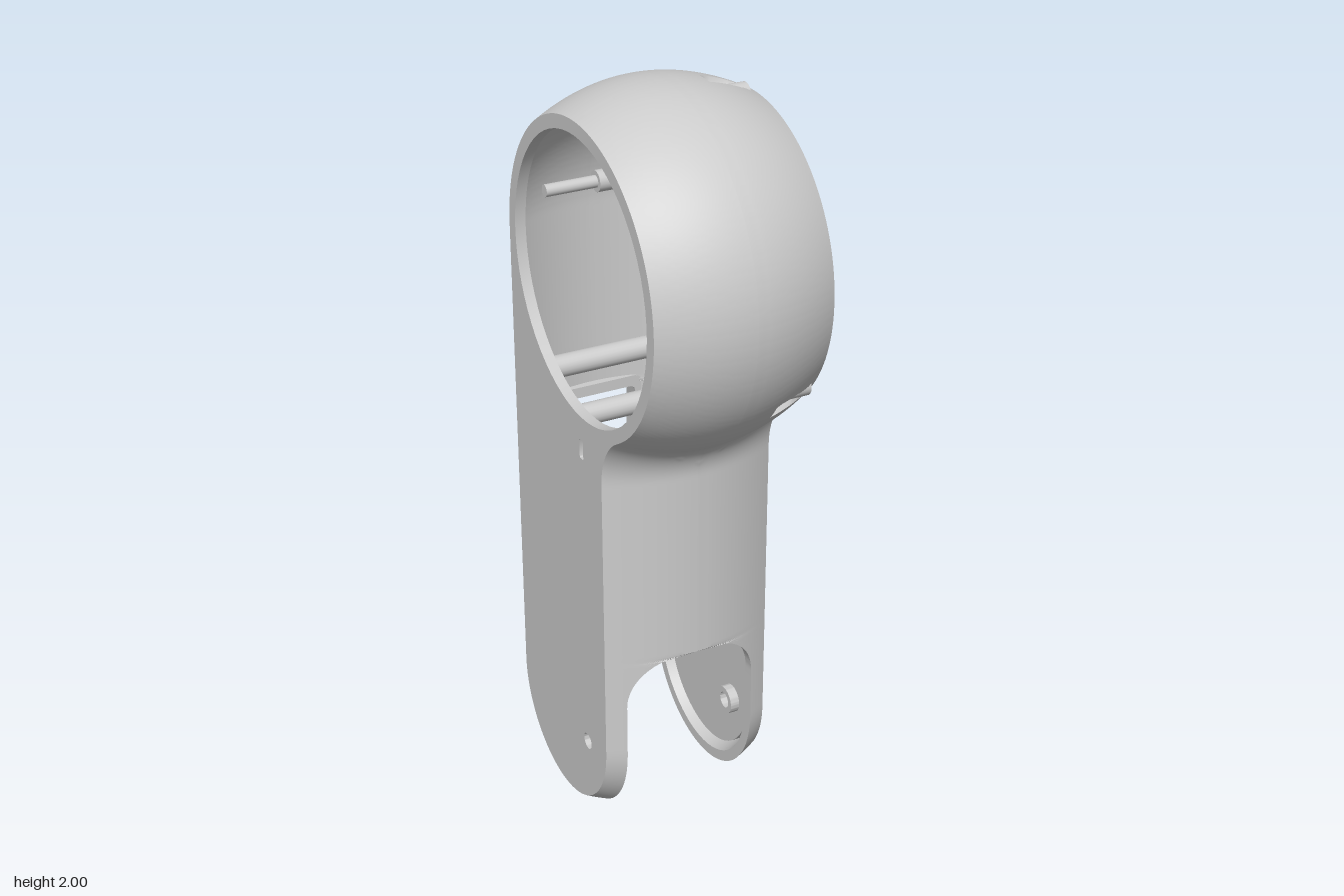
import * as THREE from 'three';
import { toCreasedNormals } from 'three/addons/utils/BufferGeometryUtils.js';

const MID = -0.02, LEFT = -0.25, RIGHT = 0.21, WALL = 0.03;
const DRUM_Y = 1.55, DRUM_R = 0.45, RAD = Math.PI / 180;
const DIMPLES = [90, -36.7, 169].map(a => a * RAD);
const mat = new THREE.MeshStandardMaterial({ color: 0xcccccc });

// half width of the fork slot at height y
function slotWidth(y, top) {
  if (y >= top) return 0;
  const h = y - (top - 0.14);
  return h > 0 ? 0.04 + Math.sqrt(0.14 * 0.14 - h * h) : 0.18;
}

// Side outline at the seam: position (z, y), outward normal (nz, ny), half width w of openings
function outline() {
  const pts = [];
  const arc = (cz, cy, r, a0, a1, n, sign, w, drum) => {
    for (let i = 0; i <= n; i++) {
      const a = a0 + (a1 - a0) * i / n, c = Math.cos(a), s = Math.sin(a);
      pts.push({ z: cz + r * c, y: cy + r * s, nz: sign * c, ny: sign * s, w, a: drum ? a : null });
    }
  };
  arc(-0.14, 0.27, 0.31, Math.PI, 2 * Math.PI, 48, 1, 0.18);
  const f = 0.12, fz = 0.17 + f;
  const dy = Math.sqrt((DRUM_R + f) ** 2 - fz * fz), fy = DRUM_Y - dy;
  for (let y = 0.28; y < fy - 0.005; y += 0.01)
    pts.push({ z: 0.17, y, nz: 1, ny: 0, w: slotWidth(y, 0.55), a: null });
  arc(fz, fy, f, Math.PI, Math.atan2(dy, -fz), 12, -1, 0);
  arc(0, DRUM_Y, DRUM_R, Math.atan2(-dy, fz) + 0.01, Math.PI, 238, 1, 0, true);
  for (let y = 1.54; y > 0.275; y -= 0.01) {
    const w = y > 0.785 && y < 1.035 ? 0.13 : slotWidth(y, 0.65);
    pts.push({ z: -0.45, y, nz: -1, ny: 0, w, a: null });
  }
  return pts;
}
const OUTLINE = outline();

// how far the crowned surface drops toward the sides, plus the screw dimples
function drop(p, x) {
  let d = 0.06 * ((x - MID) / 0.23) ** 2;
  if (p.a !== null && x > 0.085) for (const a of DIMPLES) {
    const s = 0.42 * (p.a - a);
    if (Math.abs(s) < 0.022) d = Math.max(d, DRUM_R - 0.42 + Math.sqrt(0.022 ** 2 - s * s));
  }
  return d;
}

// One half of the crowned wall, from the seam (or opening edge) to a side
function halfShell(side) {
  const N = 16, M = 2 * (N + 1), n = OUTLINE.length, pos = [], idx = [];
  for (const p of OUTLINE) for (let k = 0; k < M; k++) {
    const j = k <= N ? k : M - 1 - k;
    const x0 = MID + side * p.w, x = x0 + ((side > 0 ? RIGHT : LEFT) - x0) * j / N;
    const d = drop(p, x) + (k <= N ? 0 : WALL);
    pos.push(x, p.y - p.ny * d, p.z - p.nz * d);
  }
  for (let i = 0; i < n; i++) for (let k = 0; k < M; k++) {
    const i2 = (i + 1) % n, k2 = (k + 1) % M;
    const a = i * M + k, b = i * M + k2, c = i2 * M + k2, e = i2 * M + k;
    if (side > 0) idx.push(a, b, c, a, c, e);
    else idx.push(a, c, b, a, e, c);
  }
  const g = new THREE.BufferGeometry();
  g.setAttribute('position', new THREE.Float32BufferAttribute(pos, 3));
  g.setIndex(idx);
  return toCreasedNormals(g, 0.5);
}

// Shapes for the sides use u = -z, v = y
function circle(z, y, r, Type = THREE.Path) {
  const p = new Type();
  p.absarc(-z, y, r, 0, 2 * Math.PI, false);
  return p;
}
function rect(u0, u1, v0, v1, r, Type = THREE.Path) {
  const p = new Type();
  p.absarc(u1 - r, v0 + r, r, -Math.PI / 2, 0, false);
  p.absarc(u1 - r, v1 - r, r, 0, Math.PI / 2, false);
  p.absarc(u0 + r, v1 - r, r, Math.PI / 2, Math.PI, false);
  p.absarc(u0 + r, v0 + r, r, Math.PI, 1.5 * Math.PI, false);
  p.closePath();
  return p;
}
// thick arc with rounded ends around the drum axis
function arcSlot(r, h, a0, a1) {
  const p = new THREE.Path(), c = a => [r * Math.cos(a), DRUM_Y + r * Math.sin(a)];
  p.absarc(0, DRUM_Y, r + h, a0, a1, false);
  p.absarc(...c(a1), h, a1, a1 + Math.PI, false);
  p.absarc(0, DRUM_Y, r - h, a1, a0, true);
  p.absarc(...c(a0), h, a0 + Math.PI, a0 + 2 * Math.PI, false);
  return p;
}
function extrudeX(shape, x0, x1) {
  const g = new THREE.ExtrudeGeometry(shape, { depth: x1 - x0, bevelEnabled: false, curveSegments: 32 });
  g.rotateY(Math.PI / 2).translate(x0, 0, 0);
  return toCreasedNormals(g, 0.5);
}
function sidePlate(holes, x0, x1) {
  const s = new THREE.Shape(OUTLINE.map(p => new THREE.Vector2(-(p.z - p.nz * 0.088), p.y - p.ny * 0.088)));
  s.holes.push(...holes);
  return extrudeX(s, x0, x1);
}
function tube(z, y, R, r, x0, x1) {
  const s = circle(z, y, R, THREE.Shape);
  s.holes.push(circle(z, y, r));
  return extrudeX(s, x0, x1);
}
function rod(z, y, r, x0, x1) {
  return new THREE.CylinderGeometry(r, r, x1 - x0, 20).rotateZ(Math.PI / 2).translate((x0 + x1) / 2, y, z);
}

export function createModel() {
  const group = new THREE.Group();
  const add = (name, geometry) => {
    const m = new THREE.Mesh(geometry, mat);
    m.name = name;
    group.add(m);
  };

  // crowned wall, split along the seam
  add('leftHousingWall', halfShell(1));
  add('rightHousingWall', halfShell(-1));

  // side plate with curved slot, bearing hole, screw holes and small ports
  const screws = [[0.085, 1.14], [0.065, 0.855], [0.065, 0.585], [-0.355, 1.15],
    [-0.345, 1.0], [-0.345, 0.81], [-0.355, 0.665]];
  add('slottedSidePlate', sidePlate([
    circle(0, DRUM_Y, 0.115), arcSlot(0.3125, 0.033, 67 * RAD, 212 * RAD),
    ...screws.map(([z, y]) => circle(z, y, 0.022)),
    circle(0.105, 1.255, 0.017), circle(-0.1, 1.255, 0.017), circle(0, 1.28, 0.015),
    circle(0, 0.24, 0.022),
    rect(0.26, 0.295, 0.87, 1.06, 0.004), rect(0.24, 0.295, 0.74, 0.85, 0.004),
  ], 0.18, RIGHT));
  add('portFloor', new THREE.BoxGeometry(0.01, 0.36, 0.08).translate(0.178, 0.9, -0.27));

  // opposite side plate, open across the drum
  add('openSidePlate', sidePlate([
    circle(0, DRUM_Y, 0.356), circle(0, 0.24, 0.022), rect(-0.01, 0.01, 1.08, 1.13, 0.004),
  ], LEFT, LEFT + 0.028));

  // bearing collar, split by two notches
  const collar = (a0, a1) => {
    const s = new THREE.Shape();
    s.absarc(0, DRUM_Y, 0.15, a0 * RAD, a1 * RAD, false);
    s.absarc(0, DRUM_Y, 0.117, a1 * RAD, a0 * RAD, true);
    s.closePath();
    return extrudeX(s, RIGHT - 0.01, 0.25);
  };
  add('collarUpper', collar(-32, 212));
  add('collarLower', collar(222, 318));
  add('collarInnerSleeve', tube(0, DRUM_Y, 0.14, 0.115, 0.14, 0.182));

  // screw posts in the arm and in the drum
  for (const [z, y] of screws) add('screwPost', rod(z, y, 0.03, -0.235, 0.192));
  for (const a of DIMPLES) {
    const z = 0.385 * Math.cos(a), y = DRUM_Y + 0.385 * Math.sin(a);
    add('drumPost', rod(z, y, 0.028, -0.02, 0.19));
    add('drumPostTip', rod(z, y, 0.016, -0.16, -0.02));
  }

  // pivot bosses at the fork tips
  add('pivotBoss', tube(0, 0.24, 0.038, 0.022, 0.155, 0.185));
  add('pivotBoss', tube(0, 0.24, 0.038, 0.022, -0.225, -0.19));

  // rear window frame
  const frame = rect(MID - 0.143, MID + 0.143, 0.77, 1.05, 0.035, THREE.Shape);
  frame.holes.push(rect(MID - 0.115, MID + 0.115, 0.8, 1.02, 0.015));
  const frameGeo = new THREE.ExtrudeGeometry(frame, { depth: 0.052, bevelEnabled: false });
  add('rearWindowFrame', toCreasedNormals(frameGeo.translate(0, 0, -0.452), 0.5));

  return group;
}
